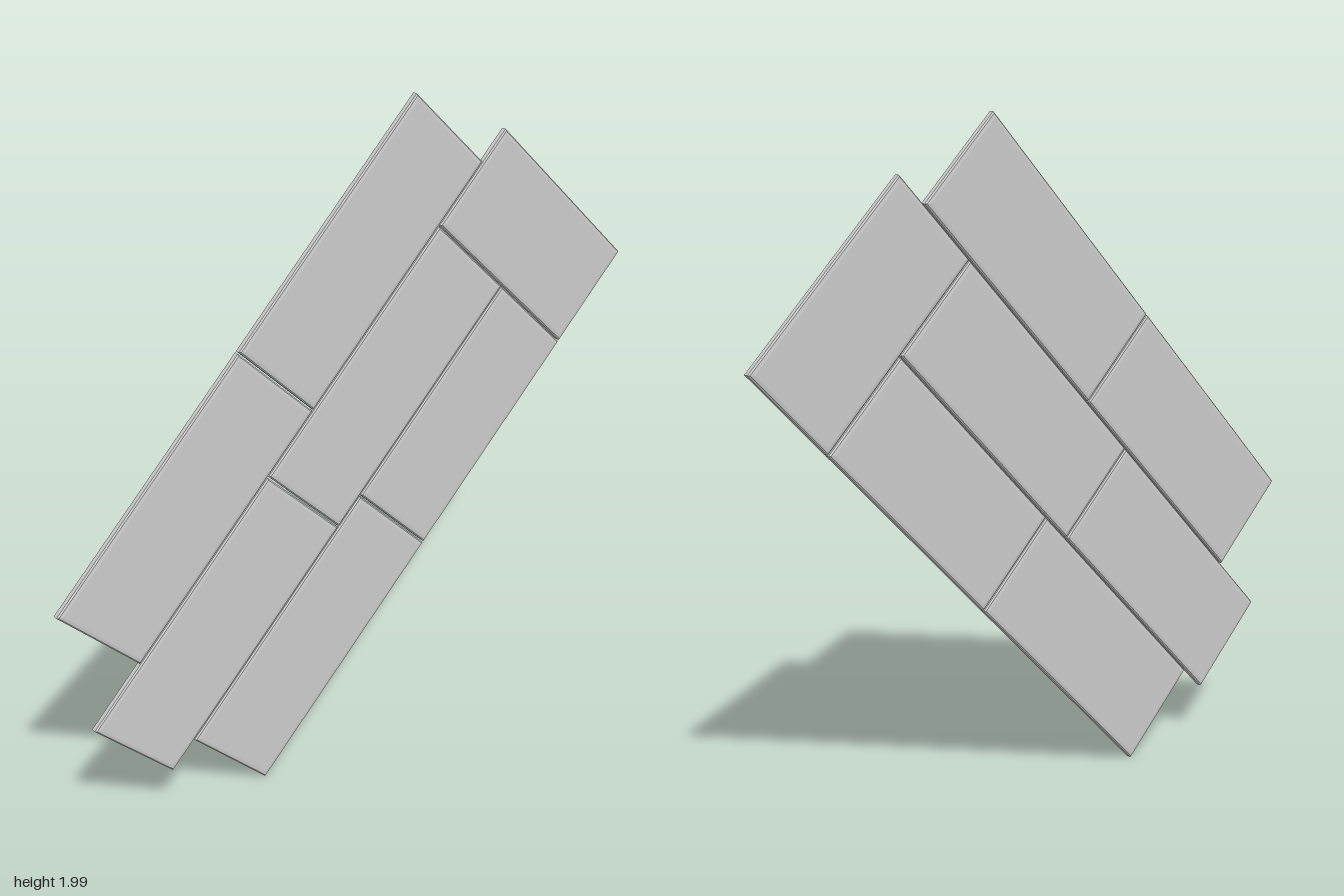
import * as THREE from 'three';

const THICKNESS = 0.026;
const BEVEL = 0.013;      // width of the eased edge seen from the face
const BEVEL_DEPTH = 0.006;
const GAP = 0.002;        // hairline joint on each side
const ROW = 0.335;        // plank width
const ROW_START = 0.255;  // distance of the lowest row from the origin
const TILT = THREE.MathUtils.degToRad(45.75);

const material = new THREE.MeshStandardMaterial({ color: 0xcccccc });

// Flat plank with eased edges on both faces, spanning u0..u1 by v0..v1
function plank(name, u0, u1, v0, v1) {
  const inset = BEVEL + GAP;
  const shape = new THREE.Shape();
  shape.moveTo(u0 + inset, v0 + inset);
  shape.lineTo(u1 - inset, v0 + inset);
  shape.lineTo(u1 - inset, v1 - inset);
  shape.lineTo(u0 + inset, v1 - inset);
  shape.closePath();
  const depth = THICKNESS - 2 * BEVEL_DEPTH;
  const geometry = new THREE.ExtrudeGeometry(shape, {
    depth,
    bevelEnabled: true,
    bevelSize: BEVEL,
    bevelThickness: BEVEL_DEPTH,
    bevelSegments: 2,
  });
  geometry.translate(0, 0, -depth / 2);
  const mesh = new THREE.Mesh(geometry, material);
  mesh.name = name;
  return mesh;
}

export function createModel() {
  const model = new THREE.Group();
  model.name = 'plankPanel';

  // Staggered rows, lowest first: each list holds the joints along the row
  const rows = [
    { name: 'lowerRow', joints: [-0.245, 0.605, 1.345] },
    { name: 'middleRow', joints: [-0.35, 0.495, 1.345] },
    { name: 'upperRow', joints: [-0.128, 0.718, 1.565] },
  ];

  const panel = new THREE.Group();
  panel.name = 'planks';
  rows.forEach(({ name, joints }, r) => {
    const v = ROW_START + r * ROW;
    for (let i = 0; i < joints.length - 1; i++) {
      panel.add(plank(`${name}Plank${i + 1}`, joints[i], joints[i + 1], v, v + ROW));
    }
  });

  // Plank laid crosswise over the ends of the two lower rows
  panel.add(plank('crossPlank', 1.345, 1.68, ROW_START, ROW_START + 2 * ROW));

  panel.rotation.z = TILT;
  model.add(panel);
  return model;
}
